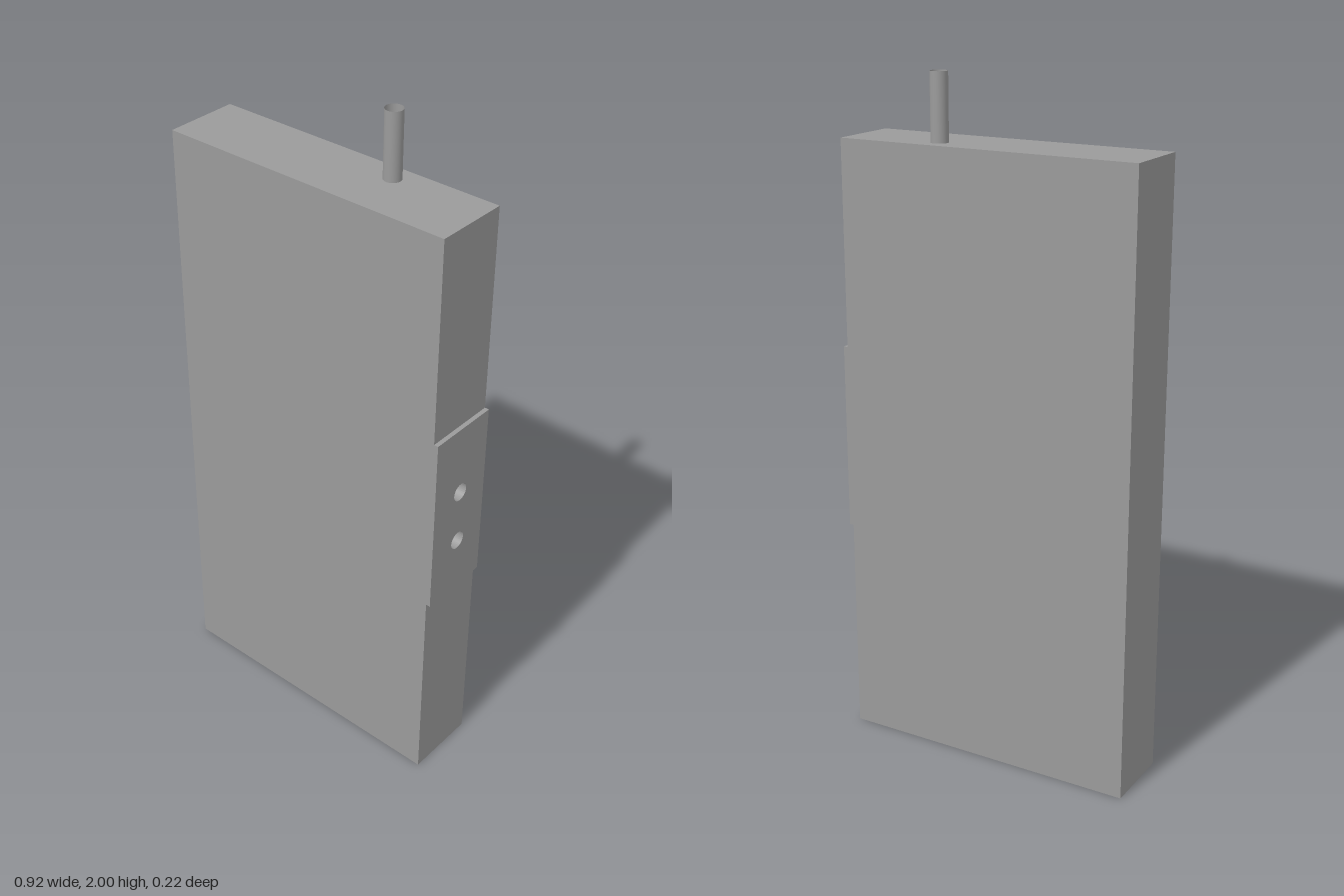
import * as THREE from 'three';

const HALF_Z = 0.11, LEFT = 0.447, RIGHT = -0.46, HEIGHT = 1.81;
const PAD_X = 0.46, PAD_Y = [0.657, 1.211];
const HOLES = [0.827, 0.996], HOLE_R = 0.027, HOLE_Z = -0.002, HOLE_FLOOR = 0.34;

const grey = new THREE.MeshStandardMaterial({ color: 0x9b9b9b });
const greyDouble = new THREE.MeshStandardMaterial({ color: 0x9b9b9b, side: THREE.DoubleSide });

// Side outline with the two screw holes cut out (drawn in -z, y)
function sideShape(y0, y1) {
  const s = new THREE.Shape();
  s.moveTo(-HALF_Z, y0).lineTo(HALF_Z, y0).lineTo(HALF_Z, y1).lineTo(-HALF_Z, y1).closePath();
  for (const y of HOLES) s.holes.push(new THREE.Path().absarc(-HOLE_Z, y, HOLE_R, 0, Math.PI * 2, true));
  return s;
}

export function createModel() {
  const model = new THREE.Group();
  const add = (name, geometry, x = 0, y = 0, z = 0, material = grey) => {
    const mesh = new THREE.Mesh(geometry, material);
    mesh.name = name;
    mesh.position.set(x, y, z);
    model.add(mesh);
  };

  // Flat body: a box whose +x face is replaced by one with holes
  const box = new THREE.BoxGeometry(LEFT - RIGHT, HEIGHT, HALF_Z * 2);
  box.setIndex(Array.from(box.index.array).slice(6));
  box.clearGroups();
  add('body', box, (LEFT + RIGHT) / 2, HEIGHT / 2);
  add('bodyLeftFace', new THREE.ShapeGeometry(sideShape(0, HEIGHT), 16).rotateY(Math.PI / 2), LEFT);

  // Raised mounting pad
  const pad = new THREE.ExtrudeGeometry(sideShape(...PAD_Y), {
    depth: PAD_X - LEFT, bevelEnabled: false, curveSegments: 16,
  });
  add('mountingPad', pad.rotateY(Math.PI / 2), LEFT);

  // Blind screw holes: wall and floor
  for (const y of HOLES) {
    const wall = new THREE.CylinderGeometry(HOLE_R, HOLE_R, LEFT - HOLE_FLOOR, 32, 1, true);
    add('screwHoleWall', wall.rotateZ(Math.PI / 2), (LEFT + HOLE_FLOOR) / 2, y, HOLE_Z, greyDouble);
    add('screwHoleFloor', new THREE.CircleGeometry(HOLE_R, 32).rotateY(Math.PI / 2), HOLE_FLOOR, y, HOLE_Z);
  }

  // Open cable tube on the top
  const tube = new THREE.CylinderGeometry(0.025, 0.025, 2 - HEIGHT, 32, 1, true);
  add('cableTube', tube, 0.16, (2 + HEIGHT) / 2, -0.052, greyDouble);

  return model;
}
